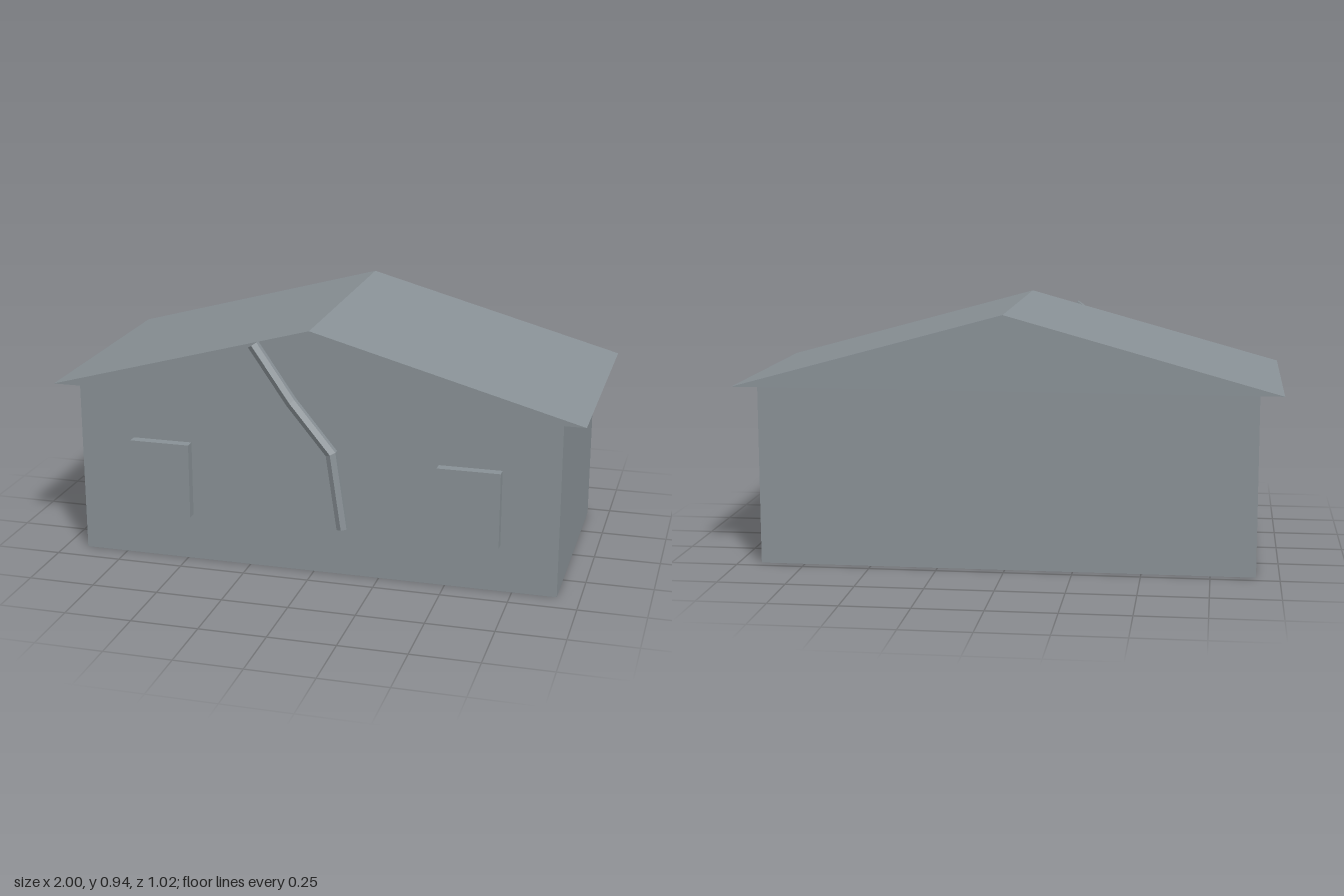
import * as THREE from 'three';

const grey = new THREE.MeshStandardMaterial({ color: 0x899196, flatShading: true });
grey.name = 'grey';

// Box given by its lower and upper corners
function box(name, [x0, y0, z0], [x1, y1, z1]) {
  const geometry = new THREE.BoxGeometry(x1 - x0, y1 - y0, z1 - z0);
  geometry.translate((x0 + x1) / 2, (y0 + y1) / 2, (z0 + z1) / 2);
  const mesh = new THREE.Mesh(geometry, grey);
  mesh.name = name;
  return mesh;
}

// Six-sided bar with mitred bends, following a path in an upright plane
function bentBar(path, z, radius) {
  const sides = 6;
  const points = path.map(([x, y]) => new THREE.Vector2(x, y));
  const rings = points.map((p, i) => {
    const before = i > 0 ? p.clone().sub(points[i - 1]).normalize() : null;
    const after = i < points.length - 1 ? points[i + 1].clone().sub(p).normalize() : null;
    const t = (before || after).clone().add(after || before).normalize();
    const miter = 1 / t.dot(before || after);
    return Array.from({ length: sides }, (_, j) => {
      const a = ((j + 0.5) / sides) * Math.PI * 2;
      const n = Math.cos(a) * radius * miter;
      return [p.x - t.y * n, p.y + t.x * n, z + Math.sin(a) * radius];
    });
  });

  const positions = [];
  const tri = (...corners) => corners.forEach((c) => positions.push(...c));
  const last = rings.length - 1;
  const first = [...path[0], z];
  const end = [...path[last], z];
  for (let j = 0; j < sides; j++) {
    const k = (j + 1) % sides;
    for (let i = 0; i < last; i++) {
      tri(rings[i][j], rings[i][k], rings[i + 1][k]);
      tri(rings[i][j], rings[i + 1][k], rings[i + 1][j]);
    }
    // End caps
    tri(first, rings[0][k], rings[0][j]);
    tri(end, rings[last][j], rings[last][k]);
  }
  const geometry = new THREE.BufferGeometry();
  geometry.setAttribute('position', new THREE.Float32BufferAttribute(positions, 3));
  geometry.computeVertexNormals();
  return new THREE.Mesh(geometry, grey);
}

export function createModel() {
  const house = new THREE.Group();
  house.name = 'house';

  // Walls
  house.add(box('walls', [-0.915, 0, -0.46], [0.915, 0.67, 0.41]));

  // Gabled roof with overhanging eaves
  const gable = new THREE.Shape([
    new THREE.Vector2(-1, 0.67),
    new THREE.Vector2(1, 0.67),
    new THREE.Vector2(0, 0.945),
  ]);
  const roofGeometry = new THREE.ExtrudeGeometry(gable, { depth: 0.967, bevelEnabled: false });
  roofGeometry.translate(0, 0, -0.509);
  const roof = new THREE.Mesh(roofGeometry, grey);
  roof.name = 'roof';
  house.add(roof);

  // Raised front windows
  house.add(box('rightWindow', [-0.705, 0.18, 0.4], [-0.475, 0.467, 0.447]));
  house.add(box('leftWindow', [0.47, 0.18, 0.4], [0.703, 0.467, 0.447]));

  // Bent pipe hanging in front of the gable
  const pipe = bentBar([[-0.2, 0.89], [-0.06, 0.685], [0.09, 0.502], [0.131, 0.214]], 0.487, 0.022);
  pipe.name = 'pipe';
  house.add(pipe);

  return house;
}
